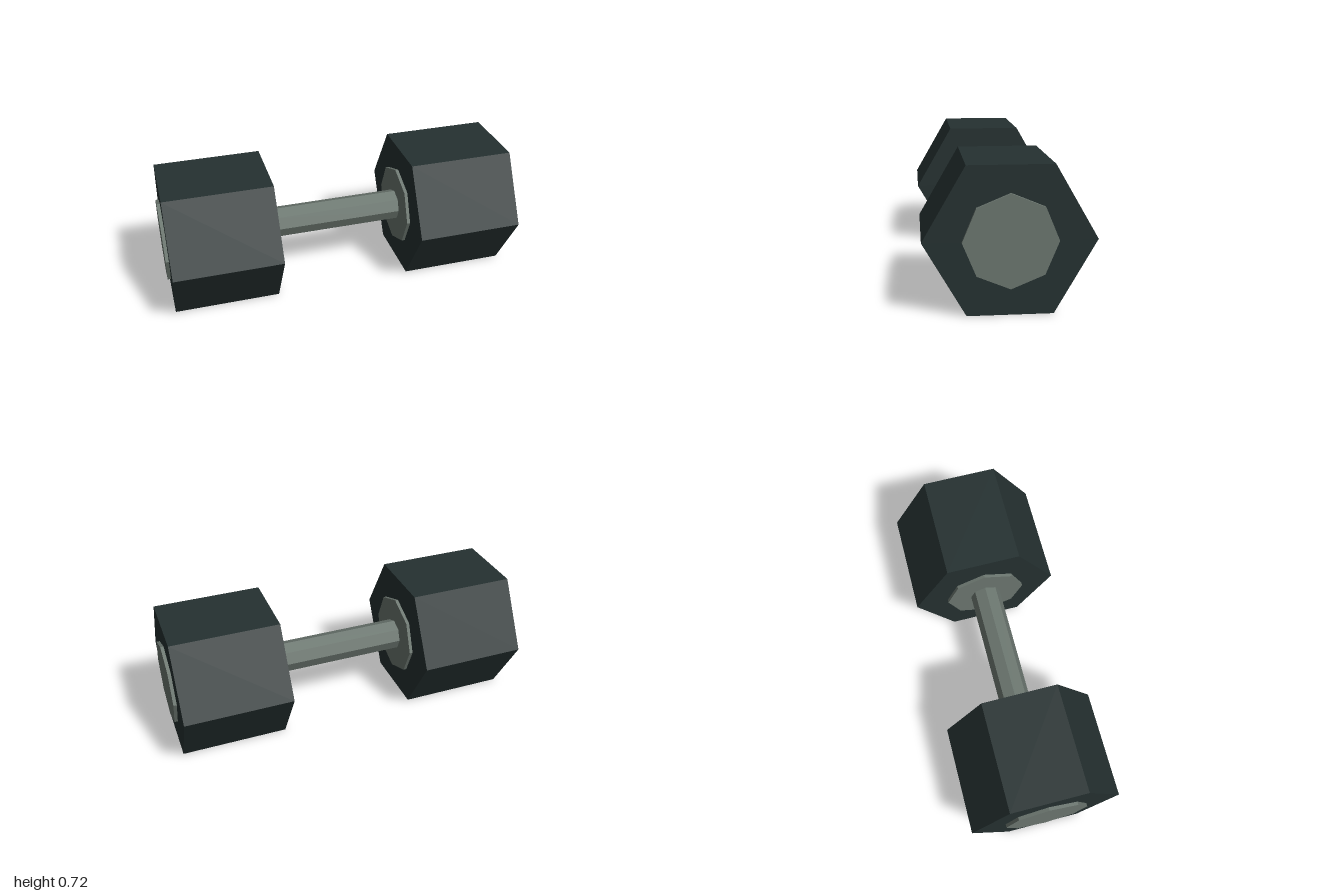
import * as THREE from 'three';

export function createModel() {
  const model = new THREE.Group();
  const centreY = 0.361;
  const rubber = new THREE.MeshStandardMaterial({ color: 0x253131 });
  rubber.name = 'dark rubber';
  const steel = new THREE.MeshStandardMaterial({ color: 0x6c7770 });
  steel.name = 'grey steel';
  rubber.flatShading = steel.flatShading = true;

  // Prism lying along x, with a corner pointing to +z
  function prism(name, material, radius, sides, x0, x1, parent) {
    const geometry = new THREE.CylinderGeometry(radius, radius, x1 - x0, sides);
    geometry.rotateZ(Math.PI / 2);
    const mesh = new THREE.Mesh(geometry, material);
    mesh.name = name;
    mesh.position.set((x0 + x1) / 2, centreY, 0);
    parent.add(mesh);
  }

  // Octagonal grip
  prism('handle', steel, 0.088, 8, -0.38, 0.38, model);

  // Hexagonal weights with a raised steel cap on each face
  for (const side of [1, -1]) {
    const weight = new THREE.Group();
    weight.name = side > 0 ? 'leftWeight' : 'rightWeight';
    const part = (name, material, radius, sides, a, b) =>
      prism(name, material, radius, sides, Math.min(side * a, side * b), Math.max(side * a, side * b), weight);
    part('hexHead', rubber, 0.416, 6, 0.39, 0.982);
    part('innerCap', steel, 0.229, 8, 0.372, 0.4);
    part('outerCap', steel, 0.229, 8, 0.97, 1.0);
    model.add(weight);
  }
  return model;
}
